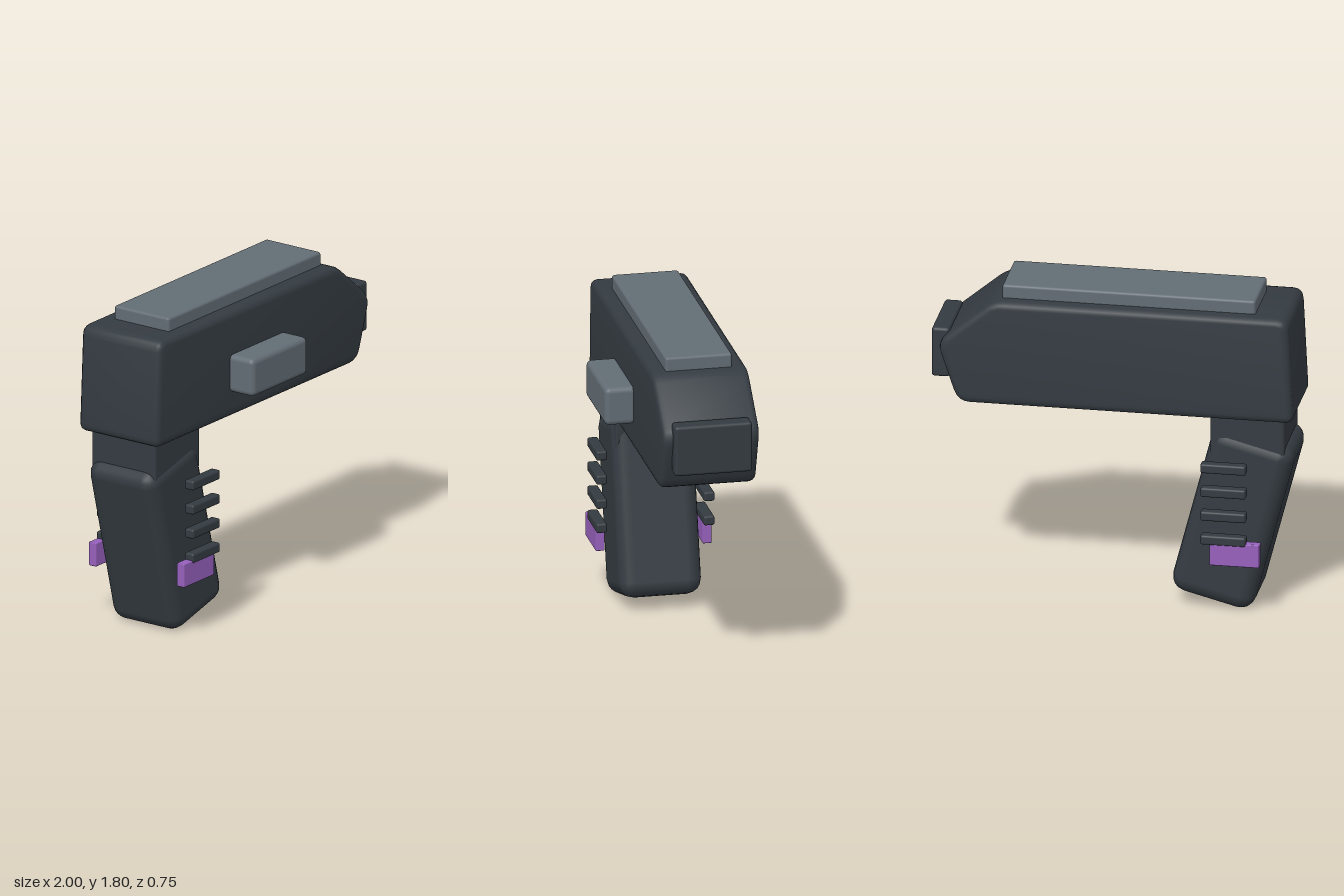
import * as THREE from 'three';
import { toCreasedNormals } from 'three/addons/utils/BufferGeometryUtils.js';
import { RoundedBoxGeometry } from 'three/addons/geometries/RoundedBoxGeometry.js';

const MID_Z = -0.05; // the whole model is symmetric about this plane, except the side button

const material = (name, color) => {
  const m = new THREE.MeshStandardMaterial({ color });
  m.name = name;
  return m;
};

// Closed outline with its corners rounded off by curves
function roundedOutline(corners, radii) {
  const pts = corners.map(([x, y]) => new THREE.Vector2(x, y));
  const shape = new THREE.Shape();
  pts.forEach((p, i) => {
    const toward = (q) => p.clone().add(q.clone().sub(p).setLength(radii[i]));
    const a = toward(pts[(i + pts.length - 1) % pts.length]);
    const b = toward(pts[(i + 1) % pts.length]);
    if (i === 0) shape.moveTo(a.x, a.y);
    else shape.lineTo(a.x, a.y);
    shape.quadraticCurveTo(p.x, p.y, b.x, b.y);
  });
  shape.closePath();
  return shape;
}

export function createModel() {
  const group = new THREE.Group();
  const charcoal = material('charcoal', 0x343b41);
  const grey = material('grey', 0x636d75);
  const purple = material('purple', 0x9660bc);

  const add = (name, geometry, mat, x, y, z) => {
    const mesh = new THREE.Mesh(geometry, mat);
    mesh.name = name;
    mesh.position.set(x, y, z);
    group.add(mesh);
    return mesh;
  };
  // Rounded box given by its extents on each axis
  const block = (name, mat, [x0, x1], [y0, y1], [z0, z1], radius) =>
    add(name, new RoundedBoxGeometry(x1 - x0, y1 - y0, z1 - z0, 3, radius), mat,
      (x0 + x1) / 2, (y0 + y1) / 2, (z0 + z1) / 2);

  // Body: side outline with a sloped nose, extruded with soft edges
  const bevel = 0.035, width = 0.535;
  const outline = roundedOutline(
    [[-1, 1.14], [0.85, 1.14], [0.965, 1.48], [0.655, 1.74], [-0.97, 1.74]],
    [0.05, 0.07, 0.07, 0.06, 0.06]);
  const body = new THREE.ExtrudeGeometry(outline, {
    depth: width - 2 * bevel, bevelEnabled: true, bevelSize: bevel, bevelThickness: bevel,
    bevelOffset: -bevel, bevelSegments: 3, curveSegments: 4,
  });
  body.translate(0, 0, -(width / 2 - bevel));
  add('body', toCreasedNormals(body, 0.6), charcoal, 0, 0, MID_Z);

  // Parts on the body
  block('topPlate', grey, [-0.78, 0.615], [1.7, 1.815], [-0.235, 0.135], 0.015);
  block('sideButton', grey, [-0.335, 0.17], [1.285, 1.5], [0.2, 0.375], 0.03);
  block('muzzle', charcoal, [0.9, 1], [1.265, 1.55], [-0.265, 0.165], 0.018);

  // Neck and leaning grip
  block('neck', charcoal, [-0.945, -0.535], [0.9, 1.2], [-0.265, 0.165], 0.015);
  const grip = add('grip', new RoundedBoxGeometry(0.47, 1.0, 0.46, 2, 0.085), charcoal,
    -0.655, 0.535, MID_Z);
  grip.rotation.z = 0.254;

  // Ribs and coloured tabs on both sides of the grip
  for (const [side, s] of [['left', 1], ['right', -1]]) {
    const span = (a, b) => (s > 0 ? [MID_Z + a, MID_Z + b] : [MID_Z - b, MID_Z - a]);
    for (let i = 0; i < 4; i++) {
      const y = 0.873 - i * 0.139;
      block(`${side}Rib${i + 1}`, charcoal, [-0.75, -0.5], [y - 0.027, y + 0.027], span(0.268, 0.328), 0.012);
    }
    block(`${side}Tab`, purple, [-0.825, -0.55], [0.31, 0.445], span(0.272, 0.322), 0.006);
  }

  return group;
}
